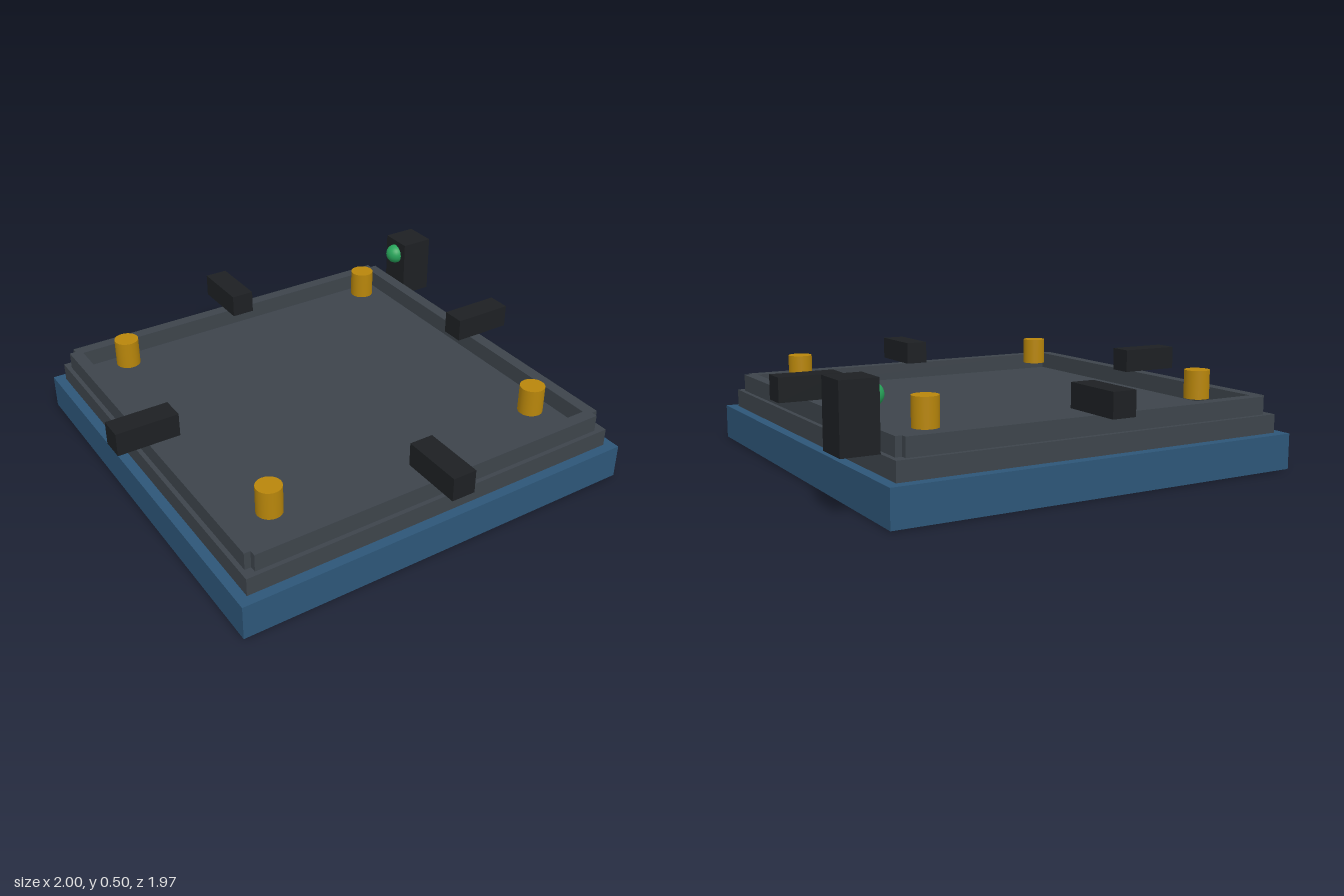
import * as THREE from 'three';

const CX = -0.017; // the plate stack sits slightly off centre because of the sensor post

const paint = (color) => new THREE.MeshStandardMaterial({ color });

export function createModel() {
  const model = new THREE.Group();
  const blue = paint(0x2d5678);
  const slate = paint(0x3d444b);
  const black = paint(0x1d2023);
  const gold = paint(0xb8860b);
  const green = paint(0x27a45a);

  const add = (name, geometry, material, x, y, z) => {
    const mesh = new THREE.Mesh(geometry, material);
    mesh.name = name;
    mesh.position.set(x, y, z);
    model.add(mesh);
    return mesh;
  };
  // box given by its bottom height
  const box = (name, w, h, d, material, x, y0, z) =>
    add(name, new THREE.BoxGeometry(w, h, d), material, x, y0 + h / 2, z);

  // stacked plates
  box('basePlate', 1.815, 0.15, 1.815, blue, CX, 0.002, 0);
  box('tray', 1.727, 0.078, 1.727, slate, CX, 0.152, 0);

  // dark runners flush with the underside
  for (const z of [-0.54, 0, 0.54]) box('runner', 1.76, 0.02, 0.1, black, CX, 0, z);

  // rim rails, ending on each other's centre lines so the corners are notched
  const railAt = 0.817, railW = 0.054, railH = 0.075;
  for (const s of [-1, 1]) {
    box('sideRail', railW, railH, railAt * 2, slate, CX + s * railAt, 0.23, 0);
    box('endRail', railAt * 2, railH, railW, slate, CX, 0.23, s * railAt);
  }

  // locating pins
  const pin = new THREE.CylinderGeometry(0.053, 0.053, 0.12, 24);
  for (const sx of [-1, 1])
    for (const sz of [-1, 1]) add('pin', pin, gold, CX + sx * 0.636, 0.345, sz * 0.636);

  // clamps hovering just above the middle of each rail
  for (const s of [-1, 1]) {
    box('sideClamp', 0.272, 0.102, 0.104, black, CX + s * 0.849, 0.314, 0);
    box('endClamp', 0.104, 0.102, 0.272, black, CX, 0.314, s * 0.849);
  }

  // sensor post with a green lamp facing the tray
  box('sensorPost', 0.152, 0.27, 0.152, black, 0.924, 0.23, -0.67);
  add('lamp', new THREE.SphereGeometry(0.046, 24, 16), green, 0.846, 0.43, -0.67);

  return model;
}
